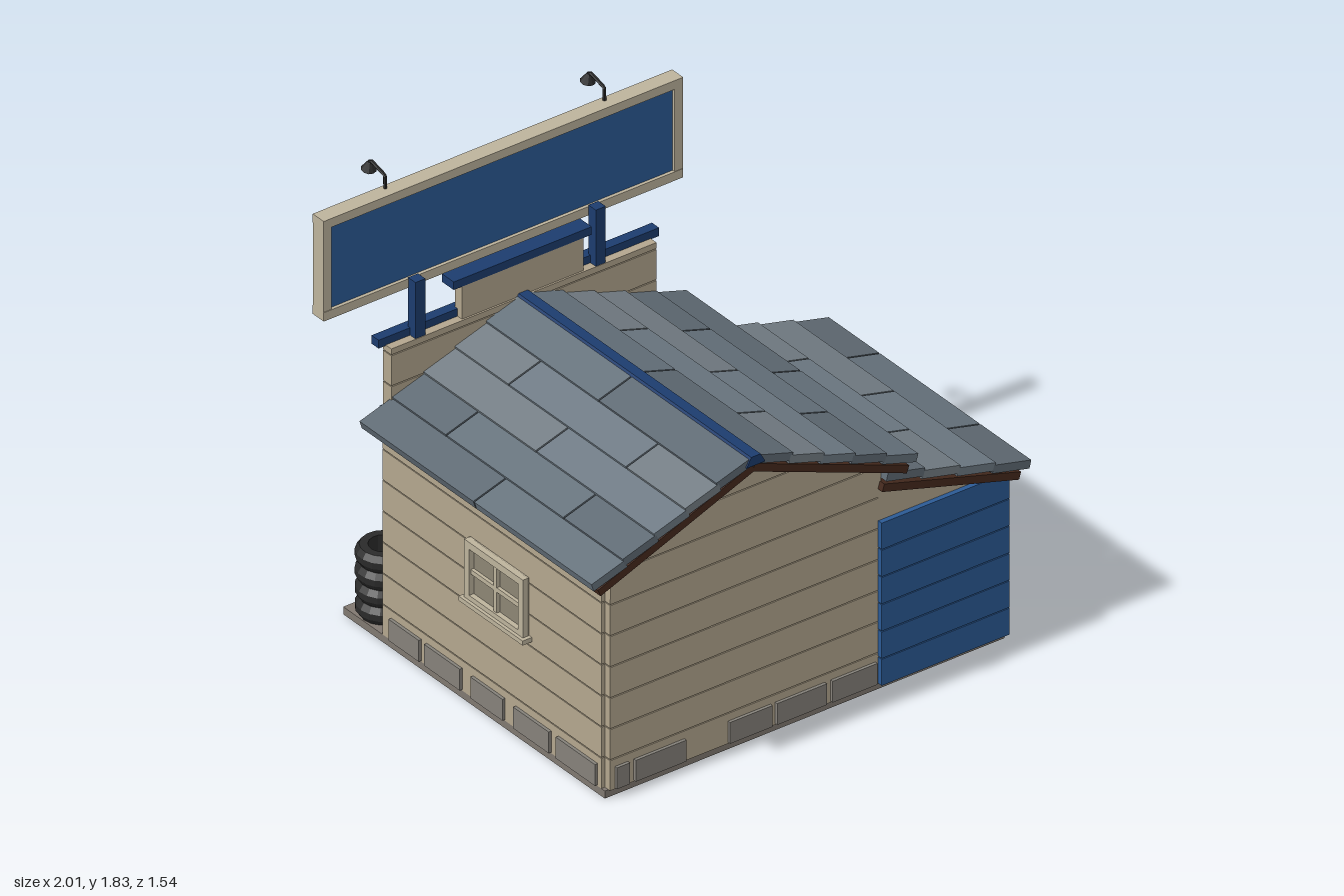
import * as THREE from 'three';

const C = {
  cream: 0xb3a68e, trim: 0xbdb39c, blue: 0x2b5a95, navy: 0x1c3c6e, brown: 0x45291d, slab: 0x807870,
  dark: 0x2a2a2a, red: 0xa83228, stone: 0x85817a, metal: 0x8d9196, pane: 0x8c8574,
};
const TILES = [0x66727c, 0x6e7a84, 0x5f6a73, 0x737d84];
const mats = {};
const mat = (c) => (mats[c] ??= new THREE.MeshStandardMaterial({ color: c, flatShading: true }));

export function createModel() {
  const root = new THREE.Group();
  root.name = 'garage';

  const add = (parent, name, geo, color, x = 0, y = 0, z = 0) => {
    const m = new THREE.Mesh(geo, mat(color));
    m.name = name;
    m.position.set(x, y, z);
    parent.add(m);
    return m;
  };
  const group = (name, parent = root) => {
    const g = new THREE.Group();
    g.name = name;
    parent.add(g);
    return g;
  };
  // box given by its limits on each axis
  const box = (parent, name, color, x0, x1, y0, y1, z0, z1) =>
    add(parent, name, new THREE.BoxGeometry(x1 - x0, y1 - y0, z1 - z0), color,
      (x0 + x1) / 2, (y0 + y1) / 2, (z0 + z1) / 2);
  // flat polygon in xy, extruded from z0 to z1
  const prism = (parent, name, color, pts, z0, z1) => {
    const shape = new THREE.Shape(pts.map(([x, y]) => new THREE.Vector2(x, y)));
    return add(parent, name, new THREE.ExtrudeGeometry(shape, { depth: z1 - z0, bevelEnabled: false }), color, 0, 0, z0);
  };

  box(root, 'floorSlab', C.slab, -0.77, 0.925, 0, 0.03, -0.77, 0.7);

  // main walls: side planks and gabled rear wall
  const walls = group('mainWalls');
  const ROW = 0.124, GAP = 0.004, RIDGE = -0.18;
  const half = (y) => Math.min(0.575, Math.max(0.01, (1.115 - y) / 0.386));
  for (let k = 0; k < 9; k++) {
    const y0 = 0.03 + k * ROW, y1 = Math.min(y0 + ROW - GAP, 1.11);
    const a = half(y0), b = half(y1);
    prism(walls, 'rearPlank', C.cream,
      [[RIDGE - a, y0], [RIDGE + a, y0], [RIDGE + b, y1], [RIDGE - b, y1]], 0.68, 0.71);
    if (k < 7) {
      box(walls, 'sidePlank', C.cream, -0.77, -0.74, y0, y1, -0.55, 0.68);
      box(walls, 'sidePlank', C.cream, 0.35, 0.38, y0, y1, -0.55, 0.68);
    }
  }
  // foundation stones
  const stones = group('foundationStones');
  for (const [a, b] of [[-0.735, -0.68], [-0.655, -0.44], [-0.255, -0.075], [-0.055, 0.155], [0.18, 0.37]])
    box(stones, 'stone', C.stone, a, b, 0.035, 0.12, 0.7, 0.722);
  for (const [a, b] of [[-0.5, -0.33], [-0.3, -0.1], [-0.04, 0.14], [0.2, 0.4], [0.44, 0.66]])
    box(stones, 'stone', C.stone, -0.782, -0.765, 0.035, 0.12, a, b);

  // false front with the vehicle opening
  const facade = group('facade');
  for (let k = 0; k < 10; k++) {
    const y0 = 0.03 + k * ROW, y1 = Math.min(y0 + ROW - GAP, 1.17);
    if (y0 > 1.165) break;
    const spans = k < 6 ? [[-0.745, -0.64], [0.2, 0.38]] : [[-0.745, 0.38]];
    for (const [a, b] of spans) box(facade, 'facadePlank', C.cream, a, b, y0, y1, -0.58, -0.533);
  }
  box(facade, 'parapet', C.cream, -0.44, 0.075, 1.17, 1.3, -0.58, -0.54);
  box(facade, 'lowerCornice', C.navy, -0.775, 0.415, 1.167, 1.2, -0.605, -0.565);
  box(facade, 'upperCornice', C.navy, -0.475, 0.11, 1.3, 1.332, -0.605, -0.54);
  box(facade, 'trimBand', C.blue, -0.745, 0.38, 0.885, 0.91, -0.6, -0.575);
  for (const x of [-0.675, 0.24]) box(facade, 'doorPost', C.navy, x - 0.035, x + 0.035, 0.03, 0.77, -0.608, -0.575);
  for (let i = 0; i < 3; i++)
    box(facade, 'rollerDoorSlat', C.metal, -0.64, 0.2, 0.7 + i * 0.024, 0.721 + i * 0.024, -0.555 + i * 0.004, -0.53);

  // stepped shingle roof side running from ridge to eave
  const roofSide = (name, board, first, last, rows, len, tilt, z0, z1, breaks) => {
    const g = group(name);
    const [bx0, by0, bx1, by1] = board;
    const dx = bx1 - bx0, dy = by1 - by0;
    const under = add(g, 'roofBoard', new THREE.BoxGeometry(Math.hypot(dx, dy), 0.03, z1 - z0 - 0.02), C.brown,
      (bx0 + bx1) / 2, (by0 + by1) / 2, (z0 + z1) / 2);
    under.rotation.z = Math.atan(dy / dx);
    for (let i = 0; i < rows; i++) {
      const t = i / (rows - 1);
      const cuts = [z0, ...breaks[(rows - 1 - i) % 2], z1];
      for (let j = 0; j < cuts.length - 1; j++) {
        const tile = add(g, 'shingle', new THREE.BoxGeometry(len, 0.032, cuts[j + 1] - cuts[j] - 0.006),
          TILES[(i * 3 + j * 2 + (i >> 1)) % 4],
          first[0] + (last[0] - first[0]) * t, first[1] + (last[1] - first[1]) * t, (cuts[j] + cuts[j + 1]) / 2);
        tile.rotation.z = -Math.sign(dx) * tilt;
      }
    }
  };
  for (const s of [-1, 1])
    roofSide(s < 0 ? 'mainRoofRight' : 'mainRoofLeft',
      [RIDGE, 1.128, RIDGE + s * 0.655, 0.873], [RIDGE + s * 0.087, 1.137], [RIDGE + s * 0.617, 0.932],
      5, 0.15, 0.3, -0.545, 0.765, [[0.1], [-0.23, 0.43]]);
  roofSide('annexRoof', [0.385, 0.822, 0.965, 0.652], [0.475, 0.845], [0.925, 0.706],
    4, 0.162, 0.24, -0.4, 0.745, [[-0.11, 0.455], [0.17]]);
  prism(root, 'ridgeCap', C.navy, [[-0.22, 1.145], [-0.14, 1.145], [-0.16, 1.182], [-0.2, 1.182]], -0.54, 0.768);

  // annex walls
  const annex = group('annex');
  for (let k = 0; k < 6; k++) {
    const y0 = 0.03 + k * 0.109, y1 = y0 + 0.105;
    box(annex, 'annexRearPlank', C.blue, 0.382, 0.925, y0, y1, 0.7, 0.73);
    box(annex, 'annexFrontPlank', C.blue, 0.382, 0.925, y0, y1, -0.37, -0.34);
    box(annex, 'annexSidePlank', C.blue, 0.895, 0.925, y0, Math.min(y1, 0.66), -0.34, 0.7);
  }
  for (const z of [-0.36, 0.69])
    prism(annex, 'annexGable', C.cream, [[0.382, 0.68], [0.86, 0.68], [0.382, 0.815]], z, z + 0.02);
  box(annex, 'annexDoor', C.navy, 0.42, 0.6, 0.03, 0.55, -0.382, -0.365);
  box(annex, 'annexDoorPanel', C.blue, 0.44, 0.58, 0.06, 0.26, -0.388, -0.375);
  box(annex, 'annexDoorPanel', C.blue, 0.44, 0.58, 0.3, 0.52, -0.388, -0.375);
  box(annex, 'eaveBoard', C.trim, 0.4, 0.9, 0.6, 0.64, -0.392, -0.365);

  // four-pane window facing +z before turning
  const makeWindow = (name, w, h, x, y, z, ry) => {
    const g = group(name);
    g.position.set(x, y, z);
    g.rotation.y = ry;
    box(g, 'pane', C.pane, -w / 2, w / 2, -h / 2, h / 2, -0.01, 0.005);
    for (const s of [-1, 1]) {
      add(g, 'jamb', new THREE.BoxGeometry(0.028, h, 0.03), C.trim, s * (w / 2 - 0.014), 0, 0.01);
      add(g, 'rail', new THREE.BoxGeometry(w, 0.028, 0.03), C.trim, 0, s * (h / 2 - 0.014), 0.01);
    }
    add(g, 'mullion', new THREE.BoxGeometry(0.018, h, 0.02), C.trim, 0, 0, 0.008);
    add(g, 'crossbar', new THREE.BoxGeometry(w, 0.018, 0.02), C.trim, 0, 0, 0.008);
    add(g, 'sill', new THREE.BoxGeometry(w + 0.03, 0.018, 0.045), C.trim, 0, -h / 2, 0.015);
  };
  makeWindow('sideWindow', 0.33, 0.24, -0.772, 0.55, 0.11, -Math.PI / 2);
  makeWindow('annexWindow', 0.22, 0.26, 0.77, 0.405, -0.375, Math.PI);

  // billboard on two posts
  const sign = group('billboard');
  box(sign, 'panel', C.blue, -0.97, 0.495, 1.38, 1.73, -0.625, -0.588);
  for (const [a, b] of [[1.355, 1.39], [1.72, 1.755]]) box(sign, 'frameRail', C.trim, -1, 0.525, a, b, -0.637, -0.575);
  for (const [a, b] of [[-1, -0.965], [0.49, 0.525]]) box(sign, 'frameStile', C.trim, a, b, 1.39, 1.72, -0.635, -0.577);
  for (const x of [-0.62, 0.145]) box(sign, 'signPost', C.navy, x - 0.021, x + 0.021, 1.17, 1.395, -0.577, -0.535);

  // billboard lamps on bent arms
  for (const x of [-0.705, 0.225]) {
    const lamp = group('signLamp');
    lamp.position.x = x;
    const path = new THREE.CurvePath();
    const p = [[1.75, -0.62], [1.805, -0.622], [1.825, -0.7], [1.805, -0.708]].map(([y, z]) => new THREE.Vector3(0, y, z));
    for (let i = 0; i < 3; i++) path.add(new THREE.LineCurve3(p[i], p[i + 1]));
    add(lamp, 'lampArm', new THREE.TubeGeometry(path, 18, 0.007, 6), C.dark);
    const shade = add(lamp, 'lampShade', new THREE.CylinderGeometry(0.008, 0.028, 0.035, 10), C.dark, 0, 1.802, -0.71);
    shade.rotation.x = 0.2;
  }

  // stack of tyres
  const tyres = group('tyreStack');
  const profile = [[0.055, 0], [0.085, 0], [0.1, 0.022], [0.1, 0.046], [0.085, 0.068], [0.055, 0.068], [0.055, 0]]
    .map(([r, y]) => new THREE.Vector2(r, y));
  for (let i = 0; i < 4; i++) {
    const tyre = add(tyres, 'tyre', new THREE.LatheGeometry(profile, 16), C.dark, -0.68, 0.03 + i * 0.069, -0.66);
    tyre.rotation.y = i * 0.3;
  }

  // fuel pump on its island
  const pump = group('fuelPump');
  box(pump, 'island', C.stone, 0.46, 0.85, 0.03, 0.058, -0.63, -0.41);
  box(pump, 'pumpFoot', C.dark, 0.575, 0.685, 0.058, 0.1, -0.575, -0.47);
  box(pump, 'pumpBody', C.red, 0.585, 0.675, 0.1, 0.47, -0.565, -0.48);
  box(pump, 'pumpPanel', C.trim, 0.6, 0.66, 0.36, 0.44, -0.57, -0.56);
  box(pump, 'pumpCap', C.metal, 0.563, 0.697, 0.47, 0.5, -0.587, -0.463);
  box(pump, 'pumpCollar', C.metal, 0.595, 0.665, 0.5, 0.535, -0.56, -0.49);
  add(pump, 'globe', new THREE.SphereGeometry(0.047, 12, 8), C.trim, 0.63, 0.578, -0.525);
  const hose = new THREE.CatmullRomCurve3([[0.67, 0.4], [0.715, 0.32], [0.705, 0.18], [0.69, 0.24], [0.7, 0.34]]
    .map(([x, y], i) => new THREE.Vector3(x, y, -0.5 - i * 0.015)));
  add(pump, 'hose', new THREE.TubeGeometry(hose, 24, 0.009, 6), C.dark);
  const nozzle = box(pump, 'nozzle', C.metal, 0.685, 0.715, 0.27, 0.34, -0.575, -0.55);
  nozzle.rotation.x = 0.5;

  // workbench and toolbox inside
  const bench = group('workbench');
  box(bench, 'benchCabinet', C.blue, -0.735, -0.37, 0.03, 0.21, -0.23, 0.3);
  box(bench, 'benchTop', C.brown, -0.738, -0.35, 0.21, 0.23, -0.25, 0.32);
  box(bench, 'toolbox', C.red, -0.6, -0.37, 0.23, 0.29, -0.22, -0.08);

  return root;
}
